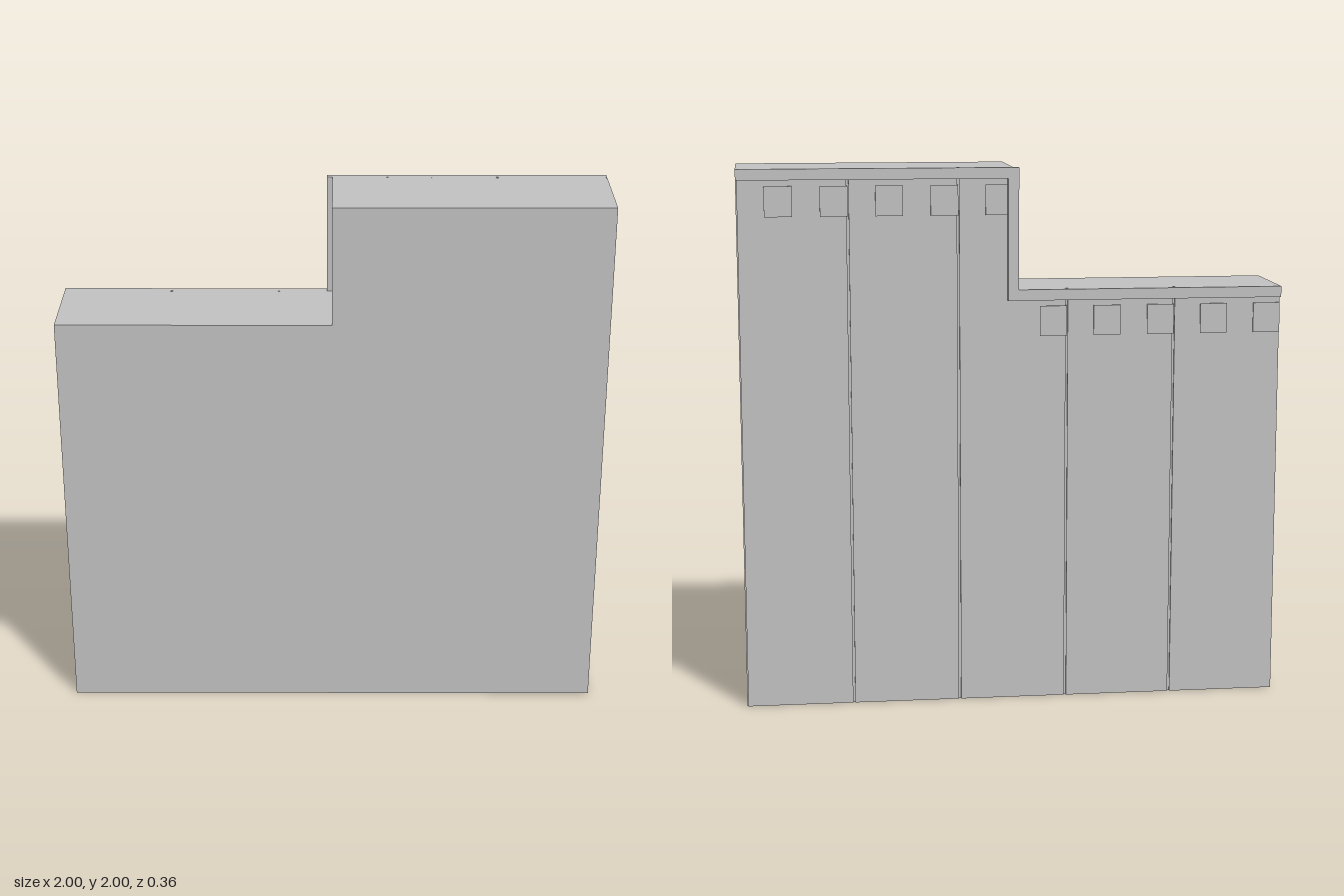
import * as THREE from 'three';

const LOW = 1.555, HIGH = 2, FRONT = 0.18, CORE_BACK = -0.148, PANEL_BACK = -0.155, BACK = -0.18;

// Outline points of the stepped wall between two x positions
function steppedOutline(x0, x1) {
  if (x1 <= 0 || x0 >= 0) {
    const h = x0 >= 0 ? HIGH : LOW;
    return [[x0, 0], [x1, 0], [x1, h], [x0, h]];
  }
  return [[x0, 0], [x1, 0], [x1, HIGH], [0, HIGH], [0, LOW], [x0, LOW]];
}

export function createModel() {
  const group = new THREE.Group();
  const wallGrey = new THREE.MeshStandardMaterial({ color: 0xc0c0c0 });
  wallGrey.name = 'wall grey';

  function slab(name, points, zMin, zMax) {
    const shape = new THREE.Shape(points.map(([x, y]) => new THREE.Vector2(x, y)));
    const geometry = new THREE.ExtrudeGeometry(shape, { depth: zMax - zMin, bevelEnabled: false });
    geometry.translate(0, 0, zMin);
    const mesh = new THREE.Mesh(geometry, wallGrey);
    mesh.name = name;
    group.add(mesh);
  }

  // Solid stepped wall
  slab('wallCore', steppedOutline(-1, 1), CORE_BACK, FRONT);

  // Five back panels separated by narrow grooves
  const gap = 0.004;
  for (let i = 0; i < 5; i++) {
    const x = -1 + i * 0.4;
    slab('backPanel', steppedOutline(i === 0 ? x : x + gap, x + 0.4 - gap), PANEL_BACK, CORE_BACK);
  }

  // Trim that follows the stepped top edge
  const t = 0.04, h = t / 2;
  slab('topTrim', [
    [-1, LOW - t], [h, LOW - t], [h, HIGH - t], [1, HIGH - t],
    [1, HIGH], [-h, HIGH], [-h, LOW], [-1, LOW],
  ], BACK, PANEL_BACK);

  // Row of small raised blocks under the trim
  for (let i = 0; i < 10; i++) {
    const x = -1 + i * 0.2;
    const top = (i < 5 ? LOW : HIGH) - 0.063;
    slab('trimBlock', [[x, top - 0.11], [x + 0.1, top - 0.11], [x + 0.1, top], [x, top]],
      PANEL_BACK - 0.006, CORE_BACK);
  }

  return group;
}
